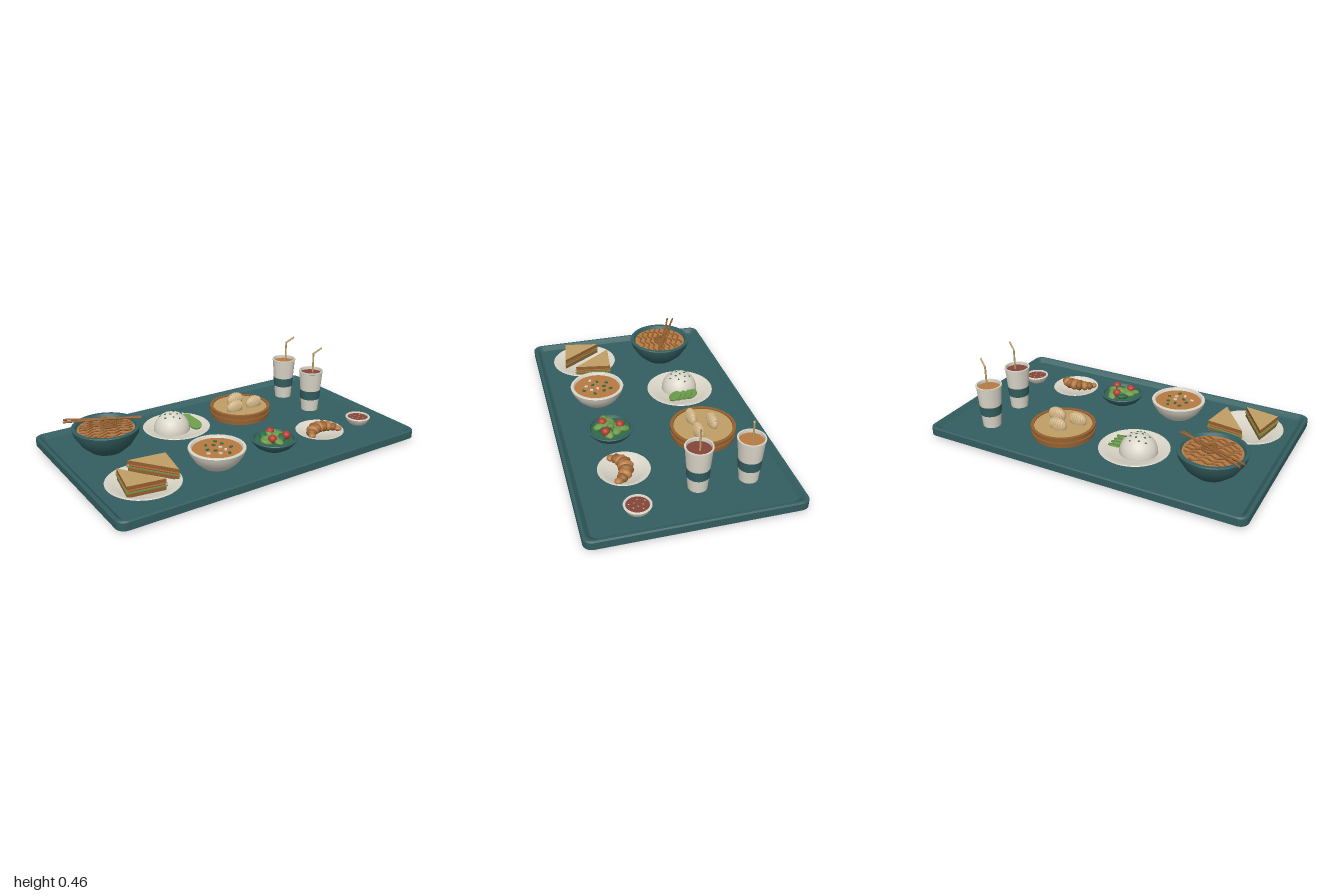
import * as THREE from 'three';
import { toCreasedNormals } from 'three/addons/utils/BufferGeometryUtils.js';

const material = (name, color) => Object.assign(new THREE.MeshStandardMaterial({ color }), { name });
const M = {
  teal: material('teal', 0x335e60),
  cream: material('cream', 0xdad5c8),
  dough: material('dough', 0xd6b98a),
  tan: material('toasted tan', 0xc09f66),
  orange: material('broth orange', 0xb87a42),
  brown: material('crust brown', 0x95602f),
  green: material('leaf green', 0x6a9a4a),
  herb: material('herb green', 0x2f6b45),
  red: material('tomato red', 0xb53c32),
  sauce: material('sauce red', 0x84443a),
};

function add(parent, name, geometry, mat, x = 0, y = 0, z = 0) {
  const mesh = new THREE.Mesh(geometry, mat);
  mesh.name = name;
  mesh.position.set(x, y, z);
  parent.add(mesh);
  return mesh;
}

function place(parent, name, x, z) {
  const g = new THREE.Group();
  g.name = name;
  g.position.set(x, 0, z);
  parent.add(g);
  return g;
}

const lathe = (profile, sides = 40) =>
  toCreasedNormals(new THREE.LatheGeometry(profile.map(p => new THREE.Vector2(...p)), sides), 0.6);
const disc = (r, h = 0.004) => new THREE.CylinderGeometry(r, r, h, 40);
const tube = (points, r, n = 24) =>
  new THREE.TubeGeometry(new THREE.CatmullRomCurve3(points.map(p => new THREE.Vector3(...p))), n, r, 6);

function blob(parent, name, mat, pos, size, yaw = 0) {
  const m = add(parent, name, new THREE.SphereGeometry(1, 16, 12), mat, ...pos);
  m.scale.set(...size);
  m.rotation.y = yaw;
  return m;
}

// Straight round bar between two points
function bar(parent, name, mat, a, b, r) {
  const A = new THREE.Vector3(...a), B = new THREE.Vector3(...b);
  const m = add(parent, name, new THREE.CylinderGeometry(r, r, A.distanceTo(B), 8), mat);
  m.position.copy(A).lerp(B, 0.5);
  m.quaternion.setFromUnitVectors(new THREE.Vector3(0, 1, 0), B.sub(A).normalize());
}

const FLOOR = 0.04;
// Open bowl profile: foot, outer wall, lip, inner wall
const bowl = (r, foot, top, wall = 0.018) => lathe([
  [0, FLOOR], [foot, FLOOR], [foot + (r - foot) * 0.5, FLOOR + (top - FLOOR) * 0.3],
  [r * 0.95, FLOOR + (top - FLOOR) * 0.72], [r, top - 0.004], [r - 0.003, top],
  [r - wall, top], [r - wall * 1.5, top - 0.02], [foot, FLOOR + 0.012], [0, FLOOR + 0.012]]);
const plate = r => lathe([[0, FLOOR], [r * 0.6, FLOOR], [r * 0.97, 0.064], [r, 0.069],
  [r * 0.985, 0.072], [r * 0.94, 0.071], [r * 0.72, 0.056], [r * 0.7, 0.054], [0, 0.054]]);

// Tray as rounded rectangles lofted from the base up and over the rim
function trayGeometry() {
  const loops = [[0.04, 0], [0, 0.014], [0, 0.058], [0.006, 0.065], [0.018, 0.065], [0.045, FLOOR]];
  const ring = loops.map(([inset, y]) => {
    const pts = [], r = 0.05 - inset * 0.35;
    for (let c = 0; c < 4; c++) for (let i = 0; i <= 6; i++) {
      const a = (c + i / 6) * Math.PI / 2;
      const sx = c === 0 || c === 3 ? 1 : -1, sz = c < 2 ? 1 : -1;
      pts.push([sx * (1 - inset - r) + Math.cos(a) * r, y, sz * (0.6 - inset - r) + Math.sin(a) * r]);
    }
    return pts;
  });
  const v = [], n = ring[0].length, last = ring.length - 1;
  for (let i = 0; i < n; i++) {
    const j = (i + 1) % n;
    for (let k = 0; k < last; k++) {
      const [a, b, c, d] = [ring[k][i], ring[k][j], ring[k + 1][j], ring[k + 1][i]];
      v.push(...a, ...d, ...b, ...b, ...d, ...c);
    }
    v.push(0, 0, 0, ...ring[0][i], ...ring[0][j]);
    v.push(0, FLOOR, 0, ...ring[last][j], ...ring[last][i]);
  }
  const g = new THREE.BufferGeometry();
  g.setAttribute('position', new THREE.Float32BufferAttribute(v, 3));
  g.computeVertexNormals();
  return toCreasedNormals(g, 0.35);
}

export function createModel() {
  const model = new THREE.Group();
  model.name = 'foodTray';
  add(model, 'tray', trayGeometry(), M.teal);

  // Noodle bowl with chopsticks
  const noodles = place(model, 'noodleBowl', -0.68, -0.24);
  add(noodles, 'bowl', bowl(0.2, 0.1, 0.188, 0.022), M.teal);
  add(noodles, 'broth', disc(0.172), M.orange, 0, 0.168, 0);
  for (let i = 0; i < 9; i++) {
    const z = -0.128 + i * 0.032, half = Math.sqrt(0.155 ** 2 - z * z), pts = [];
    for (let k = 0; k <= 16; k++) {
      const x = -half + half * k / 8;
      pts.push([x, 0.173 + 0.01 * (1 - (x * x + z * z) / 0.024), z + 0.009 * Math.sin(x * 75 + i)]);
    }
    add(noodles, 'noodle', tube(pts, 0.005, 48), M.brown);
  }
  for (let i = 0; i < 3; i++) {
    const coil = add(noodles, 'noodleCoil', new THREE.TorusGeometry(0.04 - i * 0.011, 0.007, 6, 24), M.brown, 0.02, 0.186 + i * 0.008, 0);
    coil.rotation.x = Math.PI / 2;
  }
  bar(noodles, 'chopstick', M.brown, [-0.2, 0.216, -0.15], [0.2, 0.212, 0.06], 0.006);
  bar(noodles, 'chopstick', M.brown, [-0.215, 0.216, -0.115], [0.21, 0.212, 0.045], 0.006);

  // Rice plate
  const rice = place(model, 'ricePlate', -0.21, -0.245);
  add(rice, 'plate', plate(0.208), M.cream);
  const dome = add(rice, 'riceMound', new THREE.SphereGeometry(0.112, 32, 12, 0, Math.PI * 2, 0, Math.PI / 2), M.cream, -0.03, 0.054, -0.005);
  for (let i = 0; i < 14; i++) {
    const a = i * 2.4, r = 0.02 * Math.sqrt(i + 0.4), y = Math.sqrt(0.112 ** 2 - r * r);
    blob(dome, 'herbFleck', M.herb, [Math.cos(a) * r, y, Math.sin(a) * r], [0.008, 0.004, 0.005], a);
  }
  for (let i = 0; i < 4; i++) {
    const s = add(rice, 'cucumberSlice', disc(0.04, 0.01), M.green, 0.1, 0.078, -0.045 + i * 0.035);
    s.rotation.x = 0.45;
  }

  // Dumpling steamer
  const steamer = place(model, 'steamer', 0.265, -0.245);
  add(steamer, 'basket', lathe([[0, FLOOR], [0.185, FLOOR], [0.185, 0.062], [0.192, 0.064], [0.192, 0.074],
    [0.186, 0.076], [0.186, 0.092], [0.194, 0.094], [0.194, 0.106], [0.175, 0.106], [0.175, 0.095], [0, 0.095]]), M.brown);
  add(steamer, 'steamerMat', disc(0.174), M.tan, 0, 0.098, 0);
  for (const [x, z] of [[0, -0.058], [-0.073, 0.05], [0.073, 0.05]]) {
    const d = place(steamer, 'dumpling', x, z);
    blob(d, 'dumplingBody', M.dough, [0, 0.12, 0], [0.058, 0.047, 0.031]);
    for (let i = -3; i <= 3; i++) {
      const px = i * 0.014, s = Math.sqrt(1 - (px / 0.058) ** 2), pts = [];
      for (let k = 0; k <= 8; k++) {
        const a = Math.PI * k / 8;
        pts.push([px, 0.12 + 0.047 * s * Math.sin(a), 0.031 * s * Math.cos(a)]);
      }
      add(d, 'pleat', tube(pts, 0.0035, 14), M.dough);
    }
  }

  // Drinks with sleeves and bent straws
  for (const [z, drink] of [[-0.36, M.orange], [-0.07, M.sauce]]) {
    const cup = place(model, 'drink', 0.708, z);
    const radius = y => 0.054 + (y - FLOOR) * 0.083;
    add(cup, 'cup', lathe([[0, FLOOR], [0.054, FLOOR], [radius(0.3), 0.3], [0.079, 0.302], [0.079, 0.31],
      [0.07, 0.31], [0.068, 0.28], [0, 0.28]], 28), M.cream);
    add(cup, 'sleeve', lathe([[radius(0.12), 0.12], [radius(0.12) + 0.002, 0.12], [radius(0.18) + 0.002, 0.18],
      [radius(0.18), 0.18]], 28), M.teal);
    add(cup, 'liquid', disc(0.068), drink, 0, 0.29, 0);
    bar(cup, 'straw', M.tan, [0.015, 0.2, 0], [0.015, 0.425, 0], 0.0055);
    bar(cup, 'strawTip', M.tan, [0.015, 0.421, 0], [0.062, 0.457, 0.025], 0.0055);
  }

  // Sandwich halves, layered from the top down
  const sandwich = place(model, 'sandwichPlate', -0.71, 0.285);
  add(sandwich, 'plate', plate(0.208), M.cream);
  const layers = [['bread', 0.126, 0.022, 1, [M.tan, M.brown]], ['cheese', 0.104, 0.006, 1.04, M.orange],
    ['tomato', 0.098, 0.008, 0.96, M.red], ['lettuce', 0.09, 0.007, 1.05, M.green], ['bread', 0.083, 0.023, 1, [M.tan, M.brown]]];
  for (const tri of [[[-0.103, -0.109], [-0.146, 0.105], [0.063, 0.137]], [[-0.012, -0.162], [0.207, -0.135], [0.17, 0.084]]]) {
    const cx = (tri[0][0] + tri[1][0] + tri[2][0]) / 3, cz = (tri[0][1] + tri[1][1] + tri[2][1]) / 3;
    const half = place(sandwich, 'sandwichHalf', cx, cz);
    for (const [name, top, depth, s, mat] of layers) {
      const shape = new THREE.Shape(tri.map(([x, z]) => new THREE.Vector2((x - cx) * s, (z - cz) * s)));
      const g = new THREE.ExtrudeGeometry(shape, { depth, bevelEnabled: false }).rotateX(Math.PI / 2);
      add(half, name, g, mat, 0, top, 0);
    }
  }

  // Soup bowl with garnish
  const soup = place(model, 'soupBowl', -0.25, 0.285);
  add(soup, 'bowl', bowl(0.165, 0.09, 0.15), M.cream);
  add(soup, 'soup', disc(0.143), M.orange, 0, 0.135, 0);
  for (let i = 0; i < 12; i++) {
    const a = i * 2.4, r = 0.03 * Math.sqrt(i * 0.8 + 0.5);
    const bit = add(soup, 'garnish', new THREE.BoxGeometry(0.02, 0.008, 0.014), i % 3 ? M.herb : M.cream,
      Math.cos(a) * r, 0.139, Math.sin(a) * r);
    bit.rotation.y = a;
  }

  // Salad bowl
  const salad = place(model, 'saladBowl', 0.145, 0.285);
  add(salad, 'bowl', bowl(0.138, 0.075, 0.106), M.teal);
  add(salad, 'saladBed', disc(0.115), M.herb, 0, 0.088, 0);
  for (let i = 0; i < 11; i++) {
    const a = i * 2.4, r = 0.026 * Math.sqrt(i);
    const leaf = add(salad, 'leaf', new THREE.IcosahedronGeometry(0.04, 1), i % 4 === 3 ? M.herb : M.green,
      Math.cos(a) * r, 0.113 - r * 0.1, Math.sin(a) * r);
    leaf.scale.set(1, 0.4, 0.65);
    leaf.rotation.set(Math.sin(i) * 0.35, a, Math.cos(i * 2) * 0.35);
  }
  for (const [x, z] of [[0.01, -0.055], [-0.04, 0.04], [0.06, 0.04]])
    blob(salad, 'cherryTomato', M.red, [x, 0.12, z], [0.026, 0.025, 0.026]);

  // Croissant: segments fattening toward the middle of an arc
  const pastry = place(model, 'croissantPlate', 0.495, 0.285);
  add(pastry, 'plate', plate(0.148), M.cream);
  for (let i = -4; i <= 4; i++) {
    const t = i / 4, a = t * 1.15, s = 1 - 0.5 * t * t;
    blob(pastry, 'croissantSegment', i % 2 ? M.brown : M.orange,
      [Math.sin(a) * 0.112, 0.06 + 0.025 * s, 0.095 - Math.cos(a) * 0.105], [0.024, 0.034 * s, 0.045 * s], -a);
  }

  // Dipping sauce
  const dip = place(model, 'sauceDish', 0.81, 0.285);
  add(dip, 'dish', bowl(0.077, 0.05, 0.086, 0.012), M.cream);
  add(dip, 'sauce', disc(0.064), M.sauce, 0, 0.077, 0);
  for (let i = 0; i < 8; i++) {
    const a = i * 2.4, r = 0.018 * Math.sqrt(i + 0.5);
    blob(dip, 'seed', M.dough, [Math.cos(a) * r, 0.08, Math.sin(a) * r], [0.005, 0.002, 0.003], a);
  }
  return model;
}
